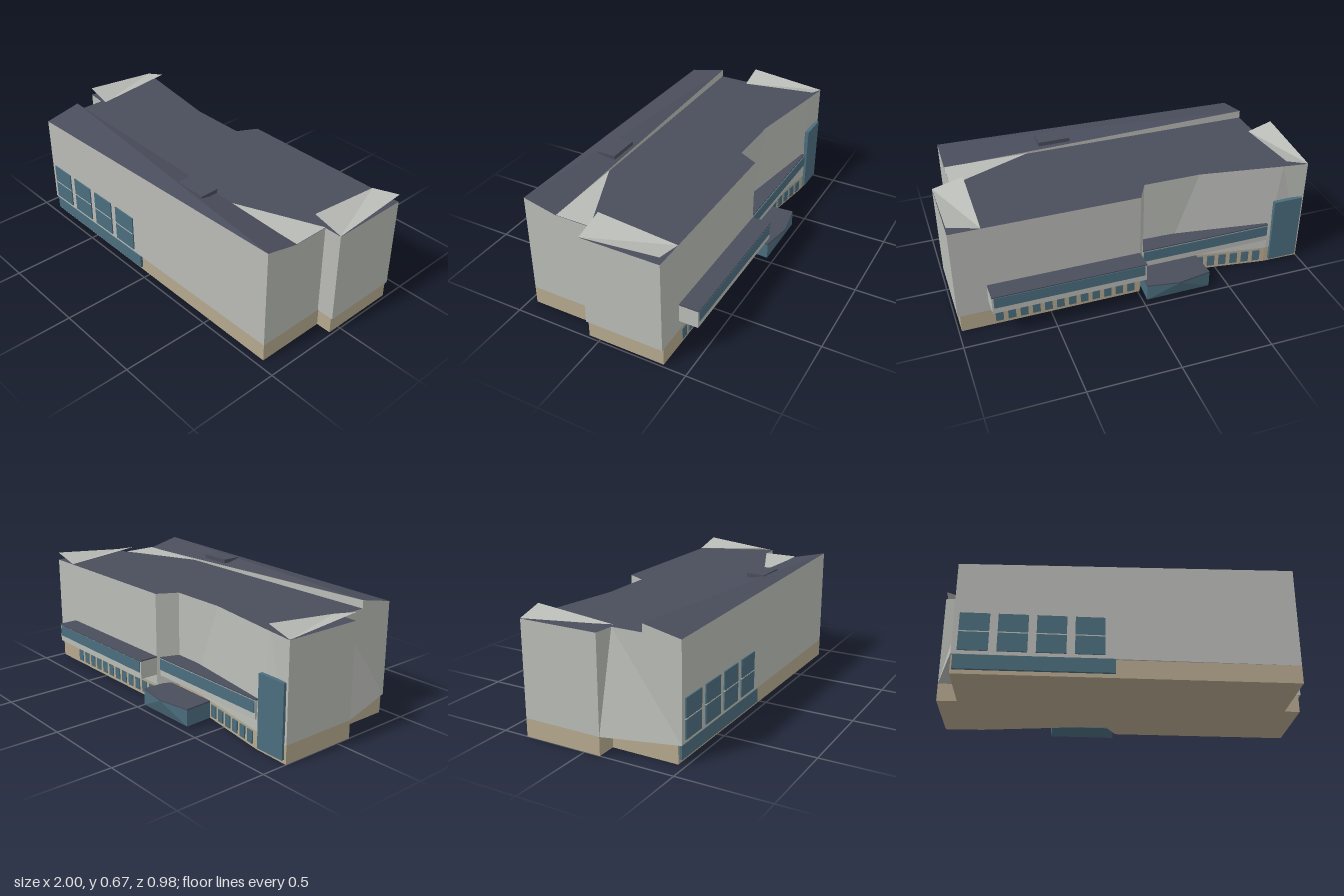
import * as THREE from 'three';
import { ConvexGeometry } from 'three/addons/geometries/ConvexGeometry.js';

const mat = (name, color, side = THREE.FrontSide) => {
  const m = new THREE.MeshStandardMaterial({ color, side });
  m.name = name;
  return m;
};

export function createModel() {
  const model = new THREE.Group();
  model.name = 'building';
  const wall = mat('pale wall', 0xb9bbb6, THREE.DoubleSide);
  const roof = mat('slate roof', 0x4a4d5b, THREE.DoubleSide);
  const stone = mat('sandstone base', 0xb5a88e);
  const glass = mat('blue glass', 0x4b6d7d);

  const add = (name, geometry, material) => {
    const mesh = new THREE.Mesh(geometry, material);
    mesh.name = name;
    model.add(mesh);
    return mesh;
  };
  // Box given by its extents
  const box = (name, material, x0, x1, y0, y1, z0, z1) => {
    const mesh = add(name, new THREE.BoxGeometry(x1 - x0, y1 - y0, z1 - z0), material);
    mesh.position.set((x0 + x1) / 2, (y0 + y1) / 2, (z0 + z1) / 2);
    return mesh;
  };
  // Upright prism over a plan of [x, z] points
  const prism = (name, material, plan, y0, y1) => {
    const shape = new THREE.Shape(plan.map(([x, z]) => new THREE.Vector2(x, -z)));
    const g = new THREE.ExtrudeGeometry(shape, { depth: y1 - y0, bevelEnabled: false });
    return add(name, g.rotateX(-Math.PI / 2).translate(0, y0, 0), material);
  };
  // Flat facets from a list of corner points, three per triangle
  const facets = (name, material, corners) => {
    const g = new THREE.BufferGeometry();
    g.setAttribute('position', new THREE.Float32BufferAttribute(corners.flat(), 3));
    g.computeVertexNormals();
    return add(name, g, material);
  };
  const sheet = (name, material, plan, y) => {
    const shape = new THREE.Shape(plan.map(([x, z]) => new THREE.Vector2(x, -z)));
    return add(name, new THREE.ShapeGeometry(shape).rotateX(-Math.PI / 2).translate(0, y, 0), material);
  };
  // Thin upright pane along a plan line, offset to the outside
  const pane = (name, material, [xa, za], [xb, zb], y0, y1, t = 0.008) => {
    const mesh = add(name, new THREE.BoxGeometry(Math.hypot(xb - xa, zb - za), y1 - y0, t), material);
    mesh.position.set((xa + xb) / 2, (y0 + y1) / 2, (za + zb) / 2);
    mesh.rotation.y = -Math.atan2(zb - za, xb - xa);
    return mesh;
  };

  // Stone base
  prism('base', stone, [
    [-1, 0.09], [-0.89, 0.09], [-0.89, 0.46], [0.9, 0.46], [0.9, 0.065], [0.985, 0.065],
    [0.985, -0.37], [-0.01, -0.37], [-0.07, -0.26], [-0.2, -0.262], [-0.79, -0.35], [-1, -0.355],
  ], 0, 0.1);

  // Upper walls, lofted from a lower to an upper plan: [x, z, topX, topZ]
  const ring = [
    [-1, 0.09, -1, 0.09], [-1, 0.09, -0.89, 0.1], [-0.89, 0.48, -0.89, 0.48],
    [0.9, 0.46, 0.9, 0.46], [0.9, 0.07, 0.9, 0.07], [0.997, 0.07, 0.997, 0.07],
    [0.997, -0.37, 0.997, -0.37], [-0.01, -0.37, -0.01, -0.37], [-0.07, -0.26, -0.07, -0.26],
    [-0.2, -0.262, -0.39, -0.26], [-0.79, -0.355, -0.86, -0.335], [-1, -0.355, -1, -0.355],
  ];
  const LOW = 0.1, TOP = 0.62, PEAK = 0.664;
  const walls = [];
  ring.forEach((p, i) => {
    const q = ring[(i + 1) % ring.length];
    const p0 = [p[0], LOW, p[1]], p1 = [p[2], TOP, p[3]];
    const q0 = [q[0], LOW, q[1]], q1 = [q[2], TOP, q[3]];
    if (i !== 0) walls.push(p0, q0, p1);
    walls.push(q0, q1, p1);
  });
  facets('upperWalls', wall, walls);
  sheet('wallUnderside', wall, ring.slice(1).map(([x, z]) => [x, z]), LOW);
  sheet('mainRoof', roof, ring.map((p) => [p[2], p[3]]), TOP);
  sheet('paleRoofCorner', wall, [[0.43, 0.27], [0.9, 0.27], [0.9, 0.07]], TOP + 0.003);

  // Twisted roof strip along the front
  const A = [-0.89, TOP, 0.48], B = [0.9, PEAK, 0.46], C = [0.9, TOP, 0.27], D = [-0.89, PEAK, 0.27];
  const B0 = [0.9, TOP, 0.46], D0 = [-0.89, TOP, 0.27];
  facets('frontRoofStrip', roof, [D, A, B, D, B, C]);
  facets('frontRoofGables', wall, [A, B0, B, B0, C, B, C, D0, D, D0, A, D]);
  box('roofHatch', roof, 0.18, 0.36, 0.648, 0.67, 0.28, 0.385);

  // Folded roof fins at both ends; corners in order front-outer, front-inner, back-inner, back-outer
  const fin = (name, xo, xi, zf, zb, frontOuter, frontInner) => {
    const fo = [xo, frontOuter, zf], fi = [xi, frontInner, zf];
    const bi = [xi, frontOuter, zb], bo = [xo, frontInner, zb];
    const corners = frontOuter > frontInner ? [fo, fi, bo, fi, bi, bo] : [fo, bo, bi, fo, bi, fi];
    facets(name, wall, corners);
  };
  fin('leftEndFin', -1, -0.86, 0.09, -0.355, PEAK, TOP + 0.002);
  fin('rightEndFin', 0.997, 0.83, 0.07, -0.37, TOP + 0.002, PEAK);

  // Front windows with a middle rail
  const frontZ = (x) => 0.48 - ((x + 0.89) / 1.79) * 0.02 + 0.003;
  const at = (x, d = 0) => [x, frontZ(x) + d];
  for (let i = 0; i < 4; i++) {
    const x0 = -0.86 + i * 0.197, x1 = x0 + 0.154;
    pane('frontWindow', glass, at(x0), at(x1), 0.12, 0.33);
    pane('frontWindowRail', wall, at(x0, 0.001), at(x1, 0.001), 0.222, 0.228);
  }
  box('frontGlassStrip', glass, -0.88, -0.06, 0.022, 0.1, 0.45, 0.475);

  // Back bay, straight half
  box('backBay', wall, -0.01, 0.83, 0.16, 0.26, -0.476, -0.36);
  box('backBayRoof', roof, -0.01, 0.83, 0.26, 0.266, -0.48, -0.365);
  box('backBayGlass', glass, 0, 0.82, 0.195, 0.257, -0.48, -0.474);

  // Back bay, tapering half
  const taper = [[-0.03, -0.362], [-0.07, -0.255], [-0.25, -0.265], [-0.79, -0.345], [-0.79, -0.362]];
  prism('taperedBay', wall, taper, 0.16, 0.26);
  prism('taperedBayRoof', roof, taper, 0.26, 0.266);
  box('taperedBayGlass', glass, -0.785, -0.035, 0.195, 0.257, -0.367, -0.36);

  // Rows of small windows in the back of the base
  for (let i = 0; i < 12; i++) {
    const x = 0.8 - i * 0.067;
    box('baseWindow', glass, x - 0.042, x, 0.018, 0.085, -0.374, -0.367);
  }
  const baseZ = (x) => -0.262 + ((x + 0.2) / 0.59) * 0.088 - 0.003;
  for (let i = 0; i < 8; i++) {
    const x = -0.25 - i * 0.067;
    pane('baseWindow', glass, [x - 0.042, baseZ(x - 0.042)], [x, baseZ(x)], 0.018, 0.085);
  }

  // Tall glass panel at the back corner
  box('tallGlassPanel', glass, -0.985, -0.815, 0.02, 0.41, -0.368, -0.345);

  // Glazed porch with a pointed roof edge
  const porch = [[-0.38, -0.3], [-0.03, -0.3], [-0.02, -0.465], [-0.39, -0.462]];
  const points = porch.flatMap(([x, z]) => [new THREE.Vector3(x, 0.01, z), new THREE.Vector3(x, 0.1, z)]);
  points.push(new THREE.Vector3(-0.2, 0.1, -0.493));
  add('porch', new ConvexGeometry(points), glass);
  prism('porchRoof', roof, [...porch.slice(0, 3), [-0.2, -0.495], porch[3]], 0.1, 0.107);

  return model;
}
